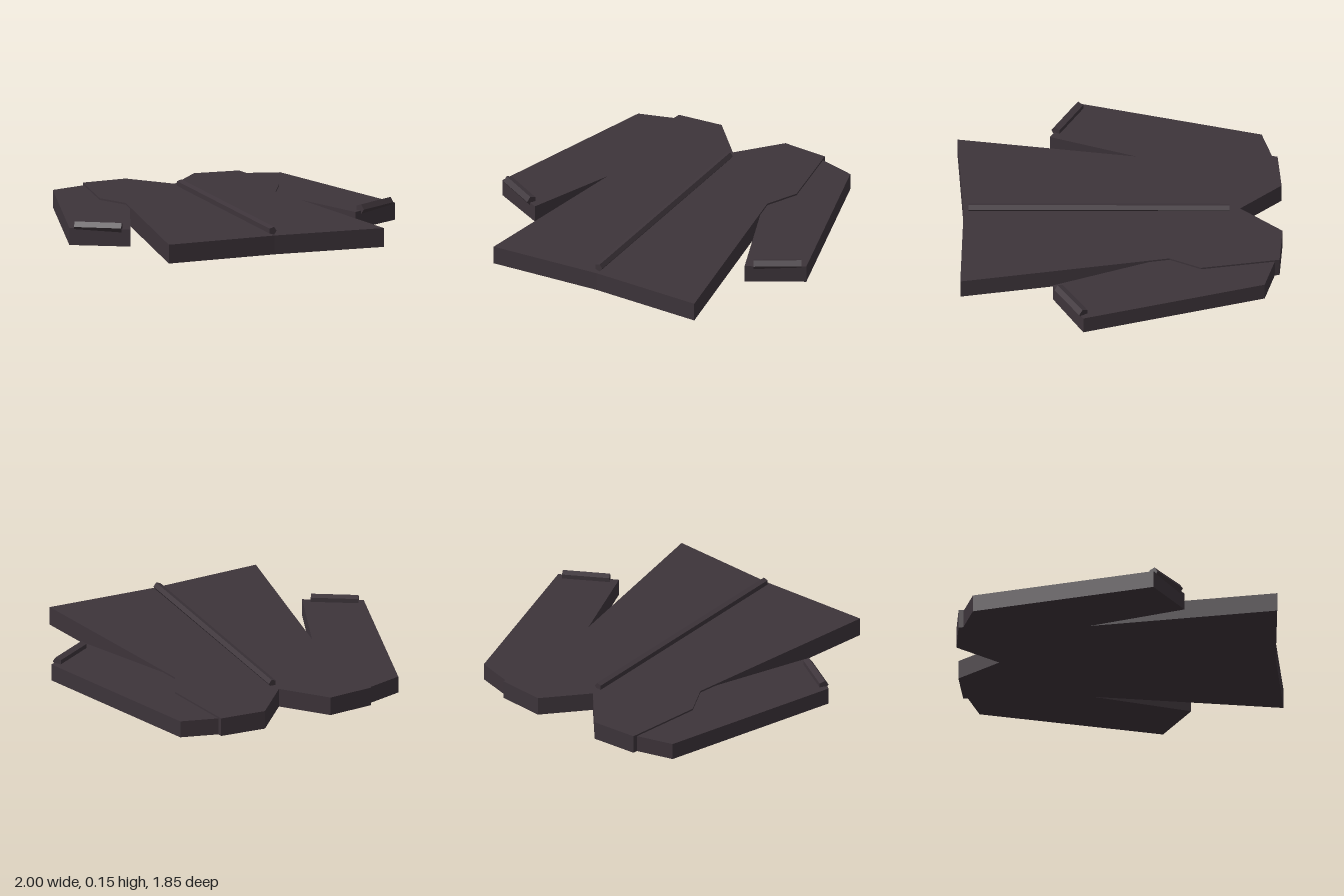
import * as THREE from 'three';

export function createModel() {
  const model = new THREE.Group();
  const cloth = new THREE.MeshStandardMaterial({ color: 0x3d343a });
  cloth.name = 'dark cloth';

  function add(name, geometry) {
    const mesh = new THREE.Mesh(geometry, cloth);
    mesh.name = name;
    model.add(mesh);
  }

  // Flat panel lying on the ground, outline given as [x, z]
  function panel(name, outline, height) {
    const shape = new THREE.Shape(outline.map(([x, z]) => new THREE.Vector2(x, -z)));
    const geometry = new THREE.ExtrudeGeometry(shape, { depth: height, bevelEnabled: false });
    add(name, geometry.rotateX(-Math.PI / 2));
  }

  // Five-sided bar from a to b with one ridge pointing sideways
  function bar(name, a, b, radius) {
    const start = new THREE.Vector3(...a), end = new THREE.Vector3(...b);
    const dir = end.clone().sub(start);
    const length = dir.length();
    dir.normalize();
    const out = new THREE.Vector3().crossVectors(dir, new THREE.Vector3(0, 1, 0)).normalize();
    const side = new THREE.Vector3().crossVectors(dir, out);
    const geometry = new THREE.CylinderGeometry(radius, radius, length, 5).toNonIndexed();
    geometry.applyMatrix4(new THREE.Matrix4().makeBasis(side, dir, out)
      .setPosition(start.add(end).multiplyScalar(0.5)));
    geometry.computeVertexNormals();
    add(name, geometry);
  }

  // Body with V neck and flared hem
  const half = [[0.21, -0.93], [0.48, -0.91], [0.55, -0.46], [0.46, -0.28], [0.66, 0.92]];
  const mirrored = half.map(([x, z]) => [-x, z]).reverse();
  panel('body', [[0, -0.69], ...half, [0, 0.893], ...mirrored], 0.11);

  // Sleeves tucked into the body sides
  const sleeve = [[0.44, -0.895], [0.698, -0.822], [1, 0.22], [0.69, 0.39], [0.42, -0.32]];
  panel('leftSleeve', sleeve, 0.1);
  panel('rightSleeve', sleeve.map(([x, z]) => [-x, z]), 0.1);

  // Cuff trims
  bar('leftCuff', [0.73, 0.108, 0.356], [0.965, 0.108, 0.217], 0.03);
  bar('rightCuff', [-0.965, 0.108, 0.217], [-0.73, 0.108, 0.356], 0.03);

  // Front closure
  bar('closure', [-0.001, 0.132, 0.865], [0.01, 0.123, -0.63], 0.024);

  return model;
}
